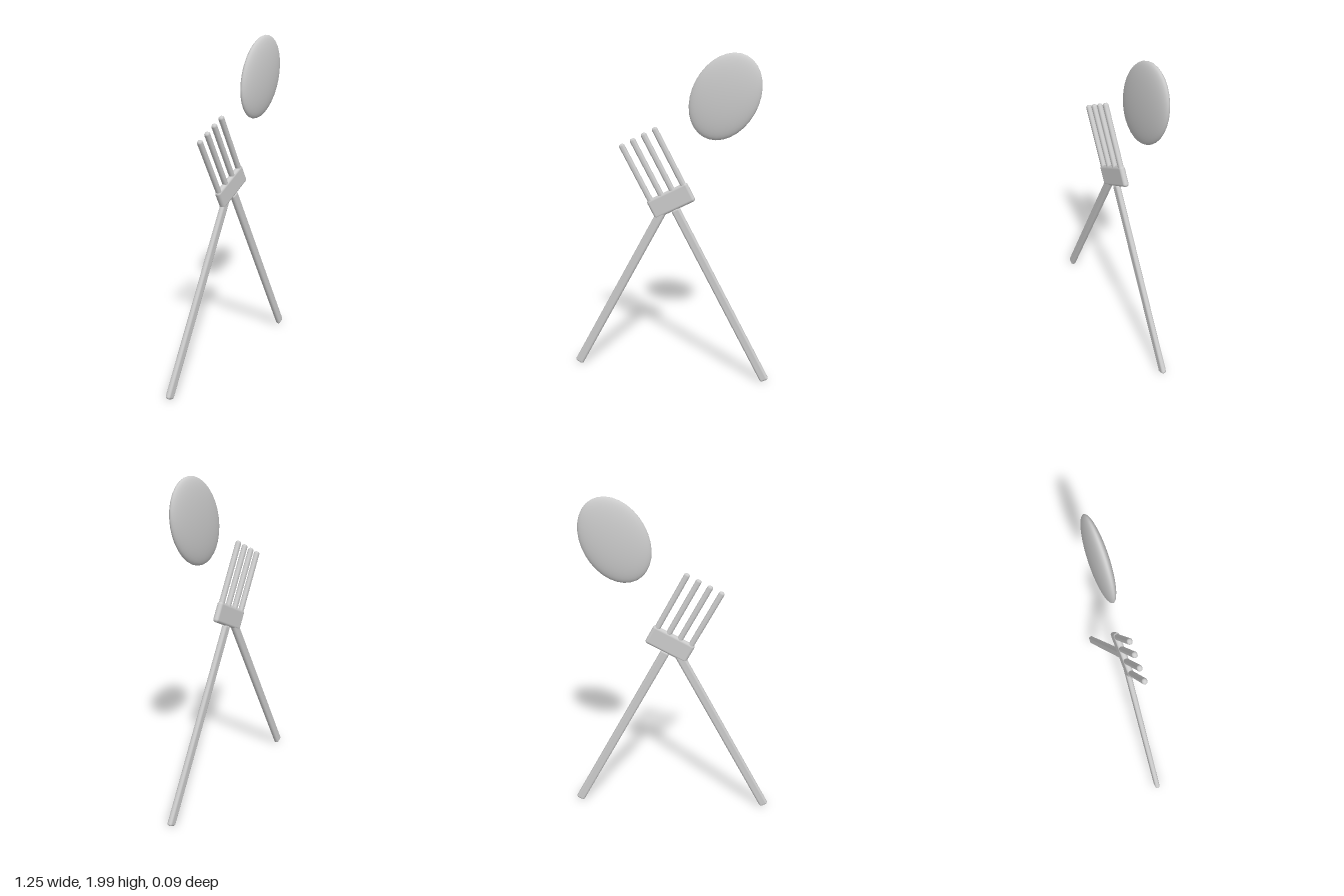
import * as THREE from 'three';
import { RoundedBoxGeometry } from 'three/addons/geometries/RoundedBoxGeometry.js';

const material = new THREE.MeshStandardMaterial({ color: 0xcccccc });
const TILT = THREE.MathUtils.degToRad(27.9);
const HANDLE = 1.22; // handle length, foot to crossing
const HEAD = 1.275; // foot to centre of fork head
const BOWL = 1.971; // foot to centre of spoon bowl

// Bar with softened edges, placed along the local y axis from y0 to y1
function bar(name, width, depth, radius, x, y0, y1) {
  const mesh = new THREE.Mesh(new RoundedBoxGeometry(width, y1 - y0, depth, 3, radius), material);
  mesh.name = name;
  mesh.position.set(x, (y0 + y1) / 2, 0);
  return mesh;
}

// Utensil group: origin at its foot, leaning towards the centre
function utensil(name, side) {
  const group = new THREE.Group();
  group.name = name;
  group.position.set(side * 0.605, 0.008, 0);
  group.rotation.z = side * TILT;
  group.add(bar(name + 'Handle', 0.055, 0.032, 0.014, 0, 0, HANDLE));
  return group;
}

export function createModel() {
  const model = new THREE.Group();
  model.name = 'crossedForkAndSpoon';

  // Fork: handle, block-shaped head and four tines
  const fork = utensil('fork', 1);
  fork.add(bar('forkHead', 0.275, 0.036, 0.017, 0, HEAD - 0.062, HEAD + 0.062));
  for (let i = 0; i < 4; i++) {
    fork.add(bar('tine' + (i + 1), 0.034, 0.031, 0.014, (i - 1.5) * 0.075, HEAD + 0.03, HEAD + 0.43));
  }

  // Spoon: handle and a flattened oval bowl floating above it
  const spoon = utensil('spoon', -1);
  const bowl = new THREE.Mesh(new THREE.SphereGeometry(1, 32, 24).rotateX(Math.PI / 2), material);
  bowl.name = 'spoonBowl';
  bowl.scale.set(0.19, 0.257, 0.045);
  bowl.position.y = BOWL;
  spoon.add(bowl);

  model.add(fork, spoon);
  return model;
}
